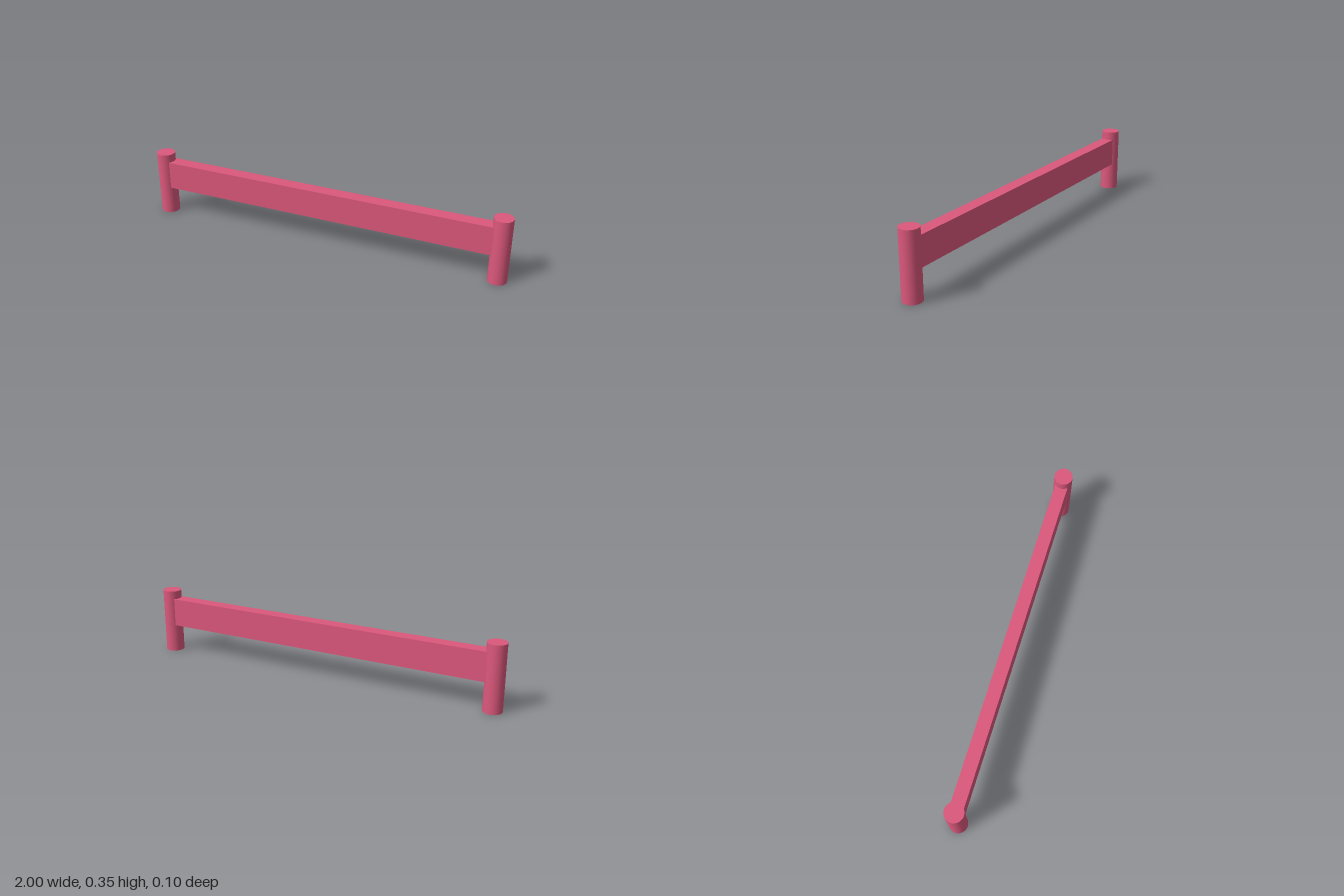
import * as THREE from 'three';

export function createModel() {
  const model = new THREE.Group();
  model.name = 'barrier';
  const material = new THREE.MeshStandardMaterial({ color: 0xdc587c });

  const postRadius = 0.05, postHeight = 0.355, postX = 0.95;

  // Round posts at both ends
  const postGeometry = new THREE.CylinderGeometry(postRadius, postRadius, postHeight, 32);
  for (const [side, name] of [[1, 'leftPost'], [-1, 'rightPost']]) {
    const post = new THREE.Mesh(postGeometry, material);
    post.name = name;
    post.position.set(side * postX, postHeight / 2, 0);
    model.add(post);
  }

  // Rail running between the posts, ends buried inside them
  const rail = new THREE.Mesh(new THREE.BoxGeometry(2 * postX, 0.155, 0.07), material);
  rail.name = 'rail';
  rail.position.y = 0.2325;
  model.add(rail);

  return model;
}
